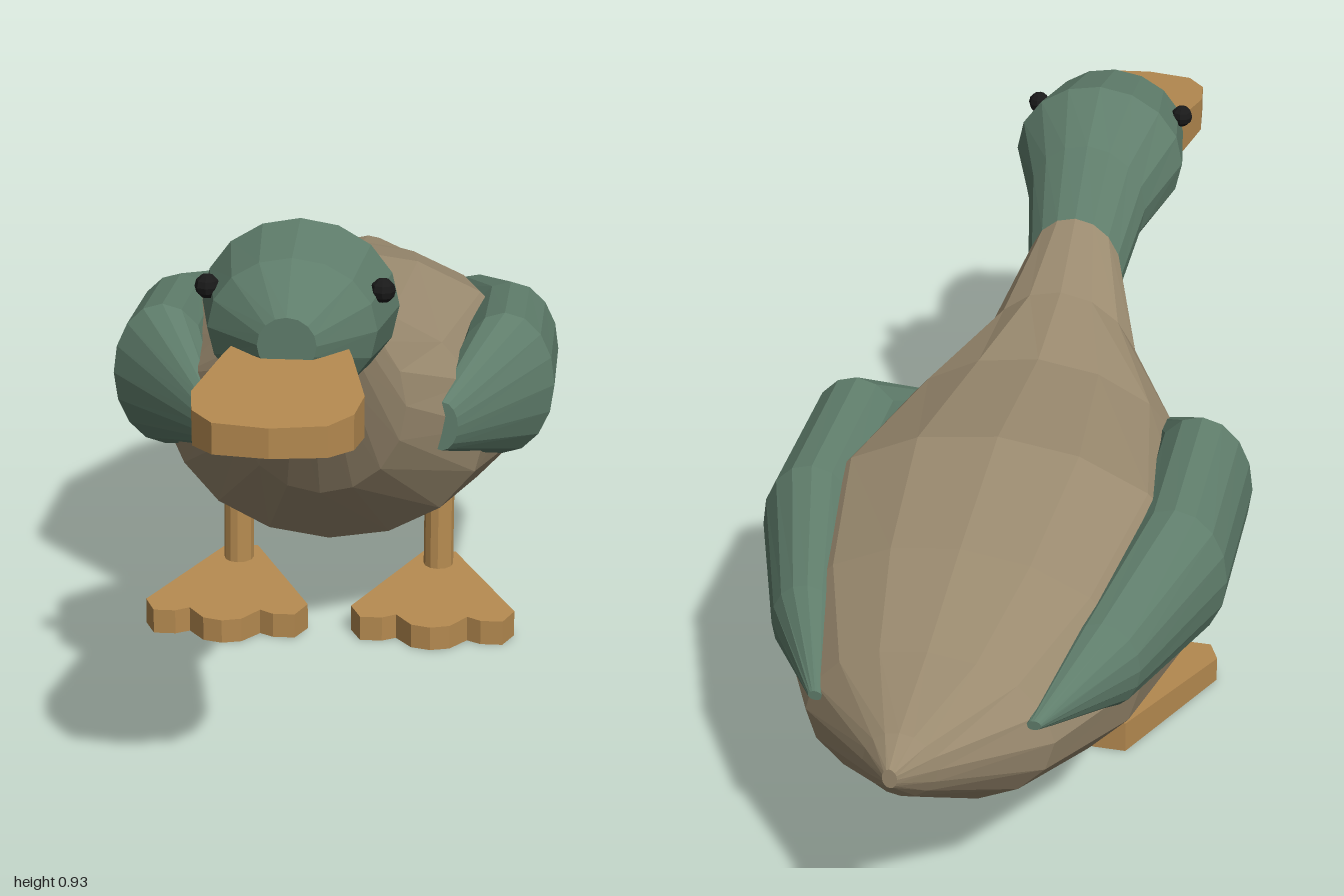
import * as THREE from 'three';

const material = (color) => new THREE.MeshStandardMaterial({ color, flatShading: true });
const GREEN = material(0x5f7d6b);
const BROWN = material(0x9a8a6f);
const ORANGE = material(0xb58a50);
const BLACK = material(0x1a1a1a);
const SIDES = 16;

function addMesh(parent, name, geometry, mat) {
  const mesh = new THREE.Mesh(geometry, mat);
  mesh.name = name;
  parent.add(mesh);
  return mesh;
}

// Skin over elliptical rings ordered front to back: [z, top, bottom, halfWidth, centreX]
function loft(rings, capFront = true, capBack = true) {
  const pos = [];
  const index = [];
  for (const [z, top, bottom, w, cx = 0] of rings) {
    const cy = (top + bottom) / 2;
    const h = (top - bottom) / 2;
    for (let j = 0; j < SIDES; j++) {
      const a = (j / SIDES) * Math.PI * 2;
      pos.push(cx + w * Math.sin(a), cy + h * Math.cos(a), z);
    }
  }
  const last = rings.length - 1;
  for (let i = 0; i < last; i++) {
    for (let j = 0; j < SIDES; j++) {
      const k = (j + 1) % SIDES;
      const a = i * SIDES + j, b = i * SIDES + k;
      index.push(a, b, a + SIDES, b, b + SIDES, a + SIDES);
    }
  }
  for (let j = 1; j < SIDES - 1; j++) {
    if (capFront) index.push(0, j + 1, j);
    const o = last * SIDES;
    if (capBack) index.push(o, o + j, o + j + 1);
  }
  const g = new THREE.BufferGeometry();
  g.setAttribute('position', new THREE.Float32BufferAttribute(pos, 3));
  g.setIndex(index);
  g.computeVertexNormals();
  return g;
}

// Flat plate, symmetric in x, from half an outline of [x, z]; top and bottom heights vary along z
function plate(half, top, bottom) {
  const mirrored = half.filter(([x]) => x > 0).reverse().map(([x, z]) => [-x, z]);
  const shape = new THREE.Shape([...half, ...mirrored].map(([x, z]) => new THREE.Vector2(x, z)));
  const g = new THREE.ExtrudeGeometry(shape, { depth: 1, bevelEnabled: false });
  g.rotateX(Math.PI / 2);
  const p = g.attributes.position;
  for (let i = 0; i < p.count; i++) {
    const z = p.getZ(i);
    p.setY(i, p.getY(i) > -0.5 ? top(z) : bottom(z));
  }
  g.computeVertexNormals();
  return g;
}

export function createModel() {
  const duck = new THREE.Group();
  duck.name = 'duck';

  // Body from neck base to tail
  const neckBase = [0.3, 0.76, 0.55, 0.088];
  addMesh(duck, 'body', loft([
    neckBase,
    [0.18, 0.67, 0.34, 0.15],
    [0, 0.63, 0.185, 0.285],
    [-0.3, 0.645, 0.125, 0.365],
    [-0.56, 0.585, 0.16, 0.305],
    [-0.77, 0.525, 0.24, 0.205],
    [-0.94, 0.49, 0.37, 0.06],
    [-1, 0.465, 0.43, 0.012],
  ], false), BROWN);

  // Head and neck
  addMesh(duck, 'headAndNeck', loft([
    [0.735, 0.835, 0.745, 0.046],
    [0.65, 0.905, 0.675, 0.133],
    [0.51, 0.93, 0.65, 0.158],
    [0.4, 0.86, 0.625, 0.11],
    neckBase,
  ], true, false), GREEN);

  // Bill
  addMesh(duck, 'bill', plate(
    [[0.08, 0.64], [0.1, 0.72], [0.13, 0.87], [0.12, 0.94], [0.085, 0.985], [0, 1]],
    (z) => 0.75 + (1 - z) * 0.07,
    (z) => 0.703 - (1 - z) * 0.07,
  ), ORANGE);

  for (const [side, s] of [['left', 1], ['right', -1]]) {
    // Eye
    const eye = addMesh(duck, side + 'Eye', new THREE.SphereGeometry(0.02, 8, 6), BLACK);
    eye.position.set(s * 0.138, 0.843, 0.605);

    // Wing
    addMesh(duck, side + 'Wing', loft([
      [0.095, 0.485, 0.395, 0.028, s * 0.208],
      [-0.08, 0.598, 0.33, 0.092, s * 0.31],
      [-0.35, 0.575, 0.317, 0.092, s * 0.313],
      [-0.61, 0.51, 0.345, 0.065, s * 0.245],
      [-0.8, 0.442, 0.425, 0.012, s * 0.178],
    ]), GREEN);

    // Leg
    const leg = addMesh(duck, side + 'Leg', new THREE.CylinderGeometry(0.028, 0.028, 0.18, 12), ORANGE);
    leg.position.set(s * 0.19, 0.125, -0.213);
    leg.rotation.x = -0.06;

    // Webbed foot with three toes
    const foot = addMesh(duck, side + 'Foot', plate(
      [[0.03, -0.262], [0.05, -0.22], [0.15, -0.01], [0.13, 0.035], [0.09, 0.035],
        [0.065, 0.02], [0.035, 0.06], [0, 0.07]],
      (z) => 0.044 - (z - 0.07) * 0.05,
      () => 0,
    ), ORANGE);
    foot.position.x = s * 0.19;
  }
  return duck;
}
